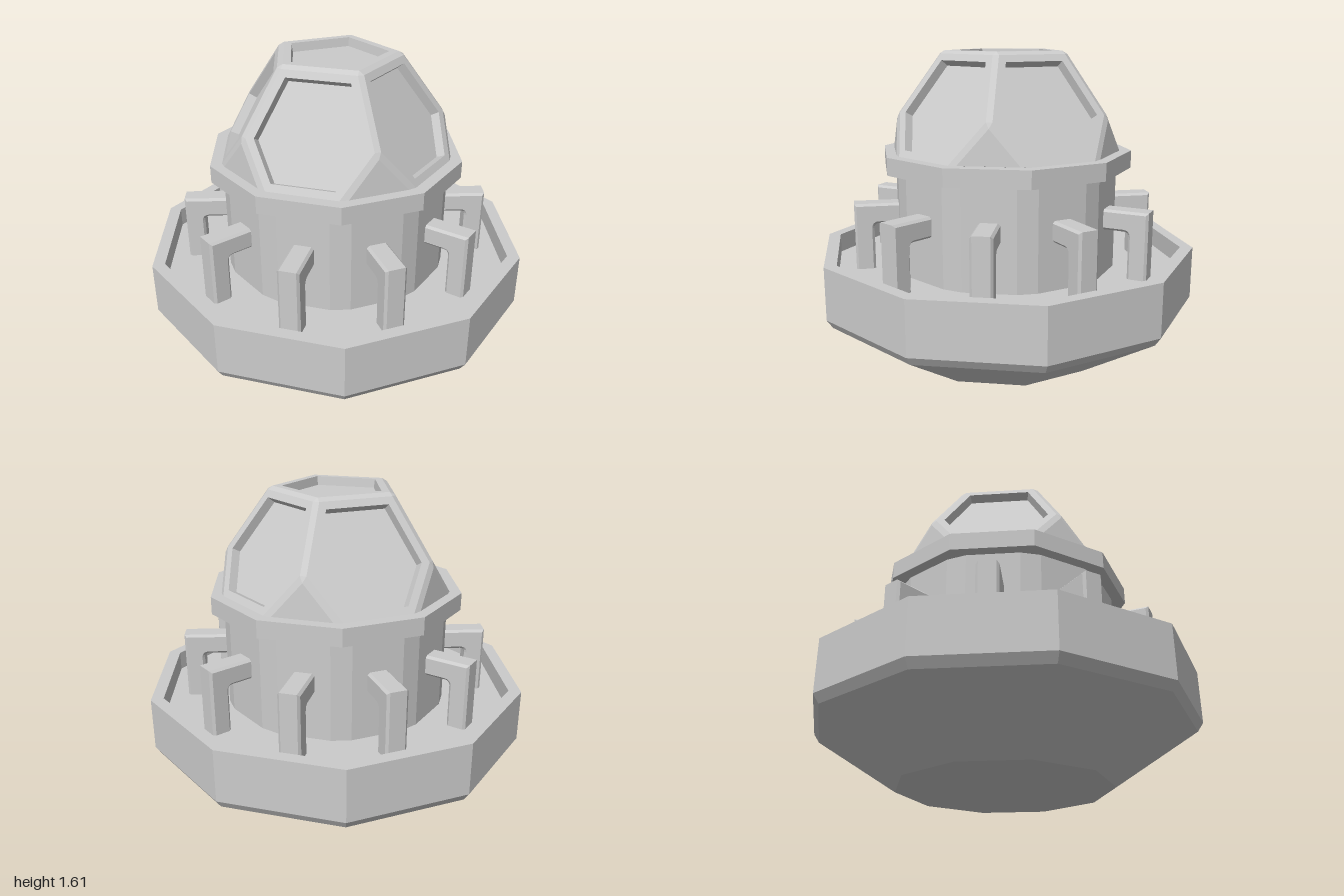
import * as THREE from 'three';
import { ConvexGeometry } from 'three/addons/geometries/ConvexGeometry.js';

const material = new THREE.MeshStandardMaterial({ color: 0xcccccc, flatShading: true });
const RAD = Math.PI / 180;

function part(name, geometry) {
  const mesh = new THREE.Mesh(geometry, material);
  mesh.name = name;
  return mesh;
}

// Ten-sided solid from a [radius, height] profile, with a corner facing +z
function decagon(profile) {
  return new THREE.LatheGeometry(profile.map(([r, y]) => new THREE.Vector2(r, y)), 10);
}

function polar(r, degrees, y) {
  return new THREE.Vector3(r * Math.cos(degrees * RAD), y, r * Math.sin(degrees * RAD));
}

function faceNormal(p) {
  return p[1].clone().sub(p[0]).cross(p[2].clone().sub(p[0])).normalize();
}

// Moves every edge of a flat convex polygon inward by the same distance
function inset(points, distance) {
  const n = faceNormal(points), count = points.length;
  const inward = points.map((p, i) =>
    n.clone().cross(points[(i + 1) % count].clone().sub(p)).normalize());
  return points.map((p, i) => {
    const a = inward[(i + count - 1) % count], b = inward[i];
    return p.clone().addScaledVector(a.clone().add(b), distance / (1 + a.dot(b)));
  });
}

function fromTriangles(points) {
  return new THREE.BufferGeometry().setFromPoints(points);
}

function finish(geometry) {
  geometry.computeVertexNormals();
  return geometry;
}

// Frame around one window, the walls of its recess and the sunken pane
function windowGeometry(outline) {
  const n = faceNormal(outline);
  const edge = inset(outline, 0.038);
  const pane = inset(edge, 0.006).map((p) => p.addScaledVector(n, -0.045));
  const loops = [outline, edge, pane], tris = [];
  const count = outline.length;
  for (let l = 0; l < 2; l++) {
    for (let i = 0; i < count; i++) {
      const j = (i + 1) % count, a = loops[l], b = loops[l + 1];
      tris.push(a[i], a[j], b[j], a[i], b[j], b[i]);
    }
  }
  for (let i = 1; i < count - 1; i++) tris.push(pane[0], pane[i], pane[i + 1]);
  return finish(fromTriangles(tris));
}

function createDome() {
  const dome = new THREE.Group();
  dome.name = 'dome';
  const top = 1.61, base = 1.085, topR = 0.335, midR = 0.56, apothem = 0.58;
  const baseR = apothem / Math.cos(18 * RAD);
  // Middle height that keeps the six-cornered sides flat
  const c = Math.cos(36 * RAD);
  const midY = top - (top - base) * (midR - topR) * c / (apothem - topR * c);

  const windows = [[0, 1, 2, 3, 4].map((k) => polar(topR, 72 * k, top))];
  const gussets = [];
  for (let k = 0; k < 5; k++) {
    const a = 72 * k, b = a + 72;
    windows.push([
      polar(topR, a, top), polar(topR, b, top), polar(midR, b, midY),
      polar(baseR, b - 18, base), polar(baseR, a + 18, base), polar(midR, a, midY),
    ]);
    gussets.push([polar(midR, a, midY), polar(baseR, a + 18, base), polar(baseR, a - 18, base)]);
  }
  const centre = new THREE.Vector3(0, 1.2, 0);
  const shrink = (p) => {
    if (faceNormal(p).dot(p[0].clone().sub(centre)) < 0) p.reverse();
    return inset(p, 0.018);
  };
  const outlines = windows.map(shrink);
  const corners = [...outlines, ...gussets.map(shrink)].flat();

  // Bevelled shell: hull of all the shrunken faces, left open at the windows
  const hull = new ConvexGeometry(corners).getAttribute('position');
  const planes = outlines.map((p) =>
    new THREE.Plane().setFromNormalAndCoplanarPoint(faceNormal(p), p[0]));
  const shell = [];
  for (let i = 0; i < hull.count; i += 3) {
    const tri = [0, 1, 2].map((j) => new THREE.Vector3().fromBufferAttribute(hull, i + j));
    const open = planes.some((pl) => tri.every((v) => Math.abs(pl.distanceToPoint(v)) < 1e-4));
    if (!open) shell.push(...tri);
  }
  dome.add(part('domeShell', finish(fromTriangles(shell))));
  outlines.forEach((p, i) => dome.add(part(i ? 'sideWindow' : 'topWindow', windowGeometry(p))));
  return dome;
}

// Decagonal drum with narrow chamfers on its upright corners
function drumGeometry(bottom, top) {
  const points = [];
  for (let i = 0; i < 10; i++) {
    for (const d of [-5, 5]) {
      const a = (90 + 36 * i + d) * RAD, r = 0.571 / Math.cos(13 * RAD);
      points.push(new THREE.Vector2(r * Math.cos(a), r * Math.sin(a)));
    }
  }
  return new THREE.ExtrudeGeometry(new THREE.Shape(points), { depth: top - bottom, bevelEnabled: false })
    .rotateX(-Math.PI / 2).translate(0, bottom, 0);
}

// Bracket: an arm from the drum and a leg down to the deck, with a rounded inner corner
function bracketGeometry() {
  const s = new THREE.Shape();
  s.moveTo(0.54, 0.835);
  s.lineTo(0.54, 0.73);
  s.lineTo(0.675, 0.73);
  s.quadraticCurveTo(0.7, 0.73, 0.7, 0.705);
  s.lineTo(0.7, 0.475);
  s.lineTo(0.8, 0.475);
  s.lineTo(0.8, 0.835);
  s.closePath();
  return new THREE.ExtrudeGeometry(s, {
    depth: 0.084, curveSegments: 4, bevelThickness: 0.012,
    bevelSize: 0.012, bevelOffset: -0.012, bevelSegments: 1,
  }).translate(0, 0, -0.042);
}

export function createModel() {
  const model = new THREE.Group();
  model.name = 'domedTurret';

  // Hull with a tapered underside and a sunken deck inside the rim
  model.add(part('base', decagon([
    [0, 0], [0.55, 0], [0.97, 0.27], [1, 0.315], [1, 0.588],
    [0.935, 0.588], [0.935, 0.488], [0, 0.488],
  ])));
  model.add(part('drum', drumGeometry(0.48, 1.03)));
  model.add(part('collar', decagon([[0, 1.01], [0.66, 1.01], [0.66, 1.1], [0, 1.1]])));

  // Ten brackets, one on each side of the drum
  const bracket = bracketGeometry();
  for (let i = 0; i < 10; i++) {
    const mesh = part('bracket', bracket);
    mesh.rotation.y = 36 * i * RAD;
    model.add(mesh);
  }

  model.add(createDome());
  return model;
}
